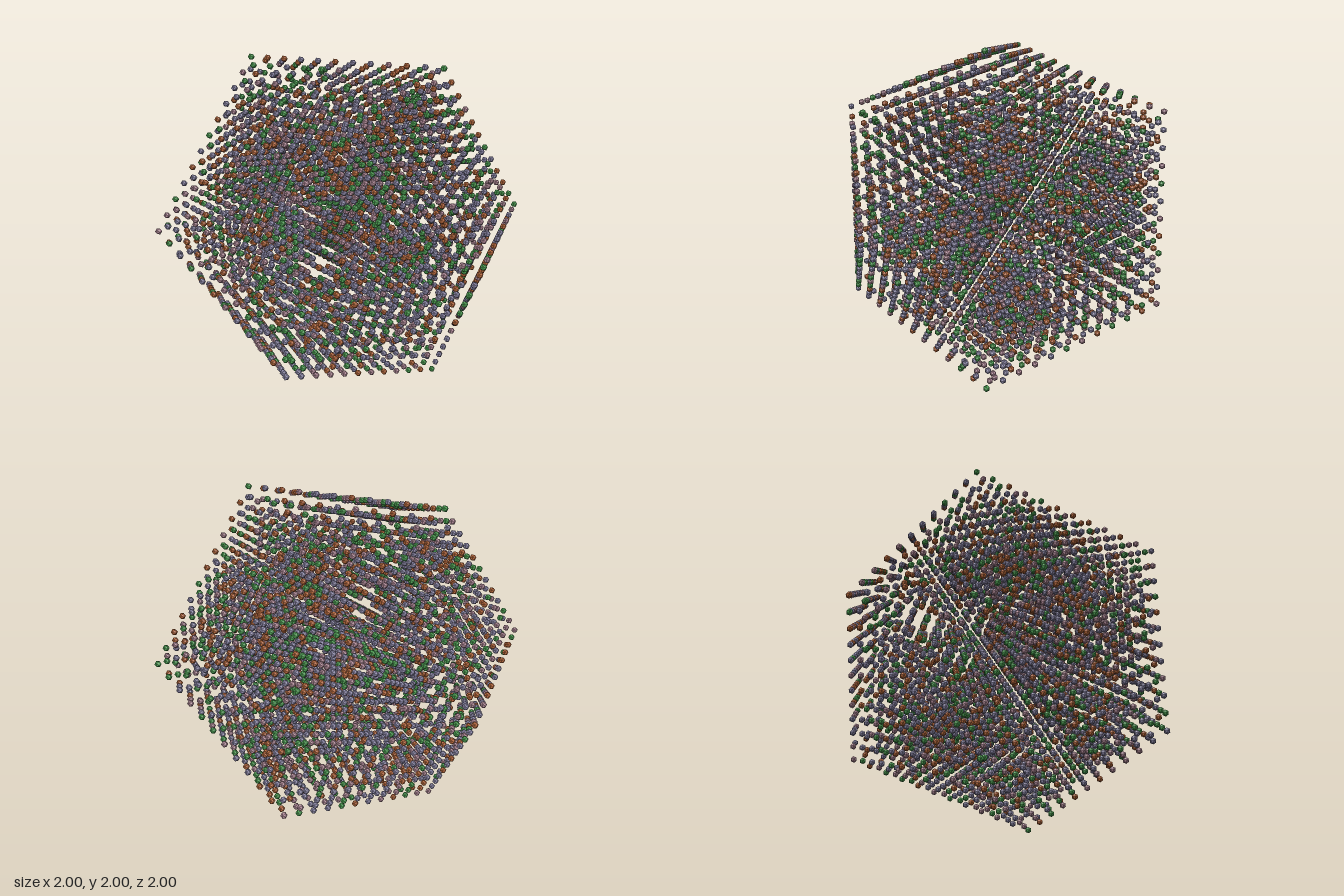
import * as THREE from 'three';
import { mergeGeometries } from 'three/addons/utils/BufferGeometryUtils.js';

const SHELLS = 11;        // nested icosahedral shells around the central ball
const OUTER = 0.982;      // long coordinate of the outermost corners
const BALL = 0.018;       // half extent of one ball
const PHI = (1 + Math.sqrt(5)) / 2;

// Corners of an icosahedron whose long coordinate is 1
function icosahedronCorners() {
  const corners = [];
  for (const a of [-1, 1]) for (const b of [-1, 1]) {
    corners.push(
      new THREE.Vector3(a / PHI, b, 0),
      new THREE.Vector3(0, a / PHI, b),
      new THREE.Vector3(b, 0, a / PHI)
    );
  }
  return corners;
}

// The 20 faces are the triples of mutually neighbouring corners
function icosahedronFaces(corners) {
  const near = (p, q) => p.distanceTo(q) < 1.3;
  const faces = [];
  for (let i = 0; i < 12; i++)
    for (let j = i + 1; j < 12; j++)
      for (let k = j + 1; k < 12; k++) {
        const [a, b, c] = [corners[i], corners[j], corners[k]];
        if (near(a, b) && near(b, c) && near(a, c)) faces.push([a, b, c]);
      }
  return faces;
}

// Every shell is a triangular lattice on each face; shared points are kept once
function clusterPoints() {
  const faces = icosahedronFaces(icosahedronCorners());
  const points = new Map();
  const step = OUTER / SHELLS;
  for (let n = 0; n <= SHELLS; n++)
    for (const [a, b, c] of faces)
      for (let i = 0; i <= n; i++)
        for (let j = 0; j <= n - i; j++) {
          const p = new THREE.Vector3()
            .addScaledVector(a, i * step)
            .addScaledVector(b, j * step)
            .addScaledVector(c, (n - i - j) * step);
          points.set(p.toArray().map((v) => Math.round(v * 1e4)).join(), p);
        }
  return [...points.values()];
}

function seededRandom(seed) {
  return () => {
    seed = (seed * 1664525 + 1013904223) % 4294967296;
    return seed / 4294967296;
  };
}

export function createModel() {
  const group = new THREE.Group();
  group.name = 'icosahedralCluster';

  // Four kinds of ball mixed through the cluster
  const kinds = [
    { name: 'greyVioletBalls', color: 0x8a86a6, share: 0.4 },
    { name: 'greenBalls', color: 0x4a9c50, share: 0.2 },
    { name: 'orangeBalls', color: 0xb5673a, share: 0.2 },
    { name: 'pinkBalls', color: 0xac8694, share: 0.2 }
  ].map((kind) => ({ ...kind, parts: [] }));

  const ball = new THREE.IcosahedronGeometry(BALL * Math.sqrt(1 + 1 / (PHI * PHI)), 0);
  const random = seededRandom(7);
  for (const p of clusterPoints()) {
    let pick = random();
    const kind = kinds.find((k) => (pick -= k.share) < 0) ?? kinds[0];
    kind.parts.push(ball.clone().translate(p.x, p.y + 1, p.z));
  }

  for (const { name, color, parts } of kinds) {
    const material = new THREE.MeshStandardMaterial({ color, flatShading: true });
    const mesh = new THREE.Mesh(mergeGeometries(parts), material);
    mesh.name = name;
    group.add(mesh);
  }
  return group;
}
